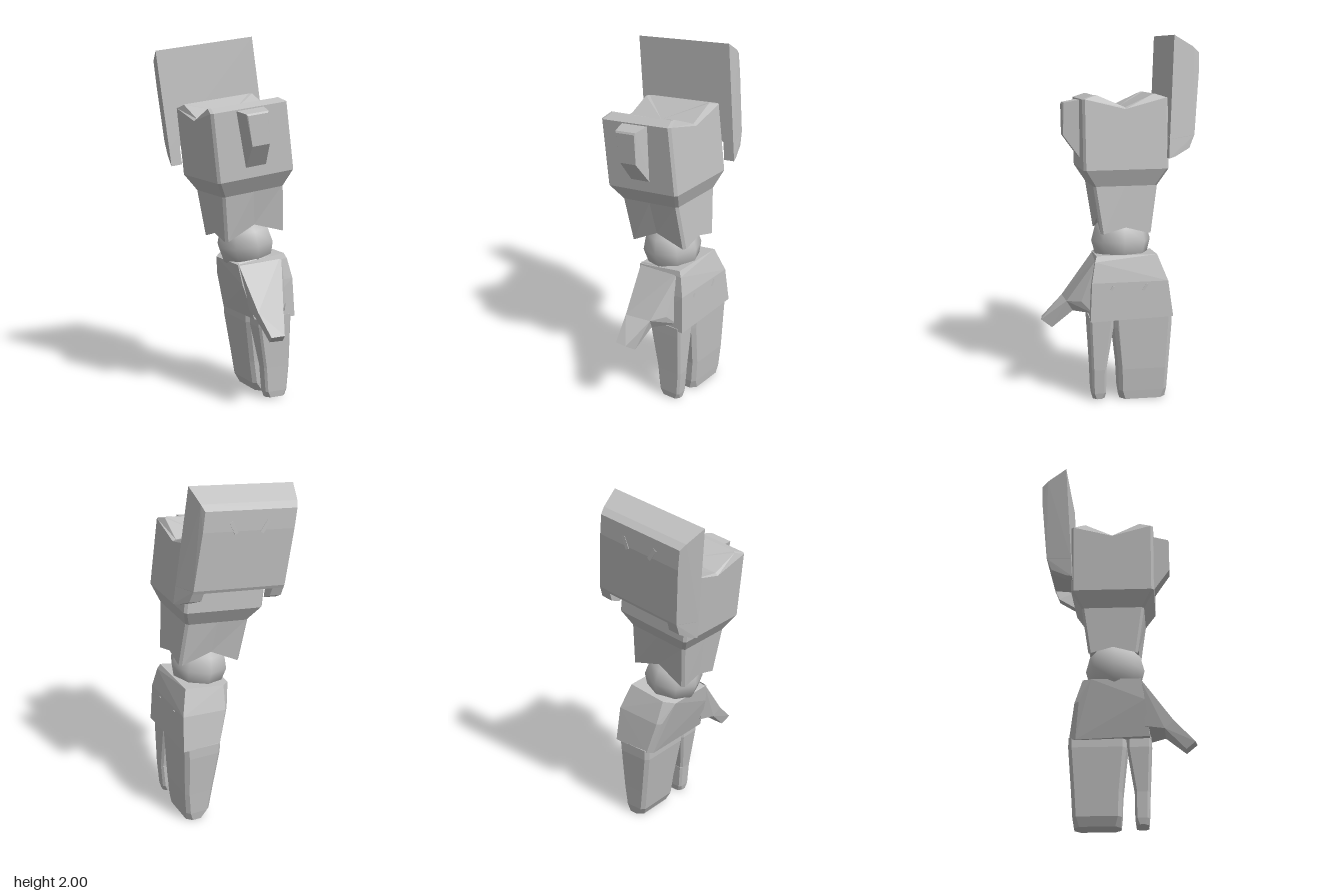
import * as THREE from 'three';
import { ConvexGeometry } from 'three/addons/geometries/ConvexGeometry.js';

const armorGrey = new THREE.MeshStandardMaterial({ color: 0xc0c0c0 });
armorGrey.name = 'armorGrey';

function add(parent, name, geometry) {
  const mesh = new THREE.Mesh(geometry, armorGrey);
  mesh.name = name;
  parent.add(mesh);
  return mesh;
}

// Faceted solid around a handful of corner points
function hull(points) {
  return new ConvexGeometry(points.map((p) => new THREE.Vector3(...p)));
}

// Solid through rectangular sections: [y, x0, x1, z0, z1, chamfer]
function block(sections) {
  const points = [];
  for (const [y, x0, x1, z0, z1, c = 0.012] of sections) {
    points.push([x0 + c, y, z0], [x0, y, z0 + c], [x1 - c, y, z0], [x1, y, z0 + c]);
    points.push([x0 + c, y, z1], [x0, y, z1 - c], [x1 - c, y, z1], [x1, y, z1 - c]);
  }
  return hull(points);
}

// Twelve-sided loop: chamfered corners plus a liftable middle on each side
function armRing({ y, w, d, front = 0, side = 0 }) {
  const c = 0.014;
  const z0 = -0.028;
  return [
    [0, front, d], [w - c, 0, d], [w, 0, d - c],
    [w, side, 0], [w, 0, -d + c], [w - c, 0, -d],
    [0, front, -d], [-w + c, 0, -d], [-w, 0, -d + c],
    [-w, side, 0], [-w, 0, d - c], [-w + c, 0, d],
  ].map(([x, dy, z]) => [x, y + dy, z + z0]);
}

function loft(rings, bottomCentre, topCentre) {
  const out = [];
  const n = rings[0].length;
  for (let j = 0; j < n; j++) {
    const k = (j + 1) % n;
    for (let i = 0; i < rings.length - 1; i++) {
      const a = rings[i], b = rings[i + 1];
      out.push(...a[j], ...a[k], ...b[k], ...a[j], ...b[k], ...b[j]);
    }
    const top = rings[rings.length - 1];
    out.push(...topCentre, ...top[j], ...top[k]);
    out.push(...bottomCentre, ...rings[0][k], ...rings[0][j]);
  }
  const geometry = new THREE.BufferGeometry();
  geometry.setAttribute('position', new THREE.Float32BufferAttribute(out, 3));
  geometry.computeVertexNormals();
  return geometry;
}

function buildForearm() {
  const arm = new THREE.Group();
  arm.name = 'forearm';
  arm.position.set(0.08, 0.97, 0);
  arm.rotation.z = 0.117;

  // Sleeve with notched cuff and a valley across the top
  const rings = [
    { y: -0.047, w: 0.182, d: 0.135, front: 0.067, side: 0.033 },
    { y: 0.21, w: 0.187, d: 0.172 },
    { y: 0.3, w: 0.232, d: 0.228 },
    { y: 0.675, w: 0.23, d: 0.228, side: -0.055 },
    { y: 0.696, w: 0.212, d: 0.165, side: -0.067 },
  ].map(armRing);
  add(arm, 'sleeve', loft(rings, [0, 0.06, -0.028], [0, 0.629, -0.028]));

  // Raised block on the front of the sleeve
  const boss = [];
  for (const s of [-1, 1]) {
    boss.push([s * 0.085, 0.67, 0.19], [s * 0.062, 0.345, 0.19]);
    boss.push([s * 0.08, 0.665, 0.21], [s * 0.066, 0.655, 0.28], [s * 0.06, 0.645, 0.286]);
    boss.push([s * 0.052, 0.48, 0.286]);
  }
  add(arm, 'frontBlock', hull(boss));

  // Back shield, narrower toward the rear
  const shield = [];
  for (const s of [-1, 1]) {
    shield.push([s * 0.3, 1.002, -0.28], [s * 0.3, 0.46, -0.25]);
    shield.push([s * 0.275, 0.94, -0.385], [s * 0.262, 0.911, -0.417]);
    shield.push([s * 0.262, 0.8, -0.415], [s * 0.265, 0.478, -0.388], [s * 0.265, 0.46, -0.38]);
  }
  add(arm, 'shield', hull(shield));

  for (const s of [-1, 1]) {
    // Lower shield corners wrapping past the sleeve
    const corner = [];
    for (const [inner, outer, y, z] of [
      [0.235, 0.3, 0.47, -0.25], [0.2, 0.265, 0.478, -0.387],
      [0.235, 0.3, 0.358, -0.245], [0.22, 0.29, 0.368, -0.28],
      [0.2, 0.268, 0.41, -0.36],
    ]) corner.push([s * inner, y, z], [s * outer, y, z]);
    add(arm, 'shieldCorner', hull(corner));

    // Slanted slots on the shield back
    const slot = add(arm, 'shieldSlot', new THREE.BoxGeometry(0.022, 0.075, 0.008));
    slot.position.set(s * 0.09, 0.82, -0.414);
    slot.rotation.z = -s * 0.5;
  }
  // Bracket joining shield and sleeve
  const bracket = add(arm, 'shieldBracket', new THREE.BoxGeometry(0.3, 0.18, 0.06));
  bracket.position.set(0, 0.56, -0.255);
  return arm;
}

function buildHand() {
  const hand = new THREE.Group();
  hand.name = 'hand';

  // Palm
  add(hand, 'palm', hull([
    [-0.03, 0.775, 0.12], [-0.03, 0.775, -0.15], [0.02, 0.79, -0.2],
    [0.25, 0.82, 0.13], [0.25, 0.82, -0.2], [0.265, 0.79, 0.14],
    [-0.01, 0.66, 0.14], [0.01, 0.66, -0.22], [0.03, 0.66, -0.245],
    [0.29, 0.68, 0.16], [0.29, 0.68, -0.255],
    [0.05, 0.47, 0.165], [0.06, 0.46, -0.24], [0.08, 0.47, -0.275],
    [0.3, 0.465, 0.17], [0.3, 0.48, -0.283],
  ]));

  // Thumb: root and tip share the middle section
  const middle = [[0.005, 0.54, 0.295], [0.165, 0.55, 0.285], [0.015, 0.5, 0.245], [0.15, 0.49, 0.25]];
  add(hand, 'thumbRoot', hull([
    [-0.025, 0.785, 0.11], [0.24, 0.815, 0.12],
    [0.03, 0.52, 0.14], [0.25, 0.5, 0.15], [0.22, 0.56, 0.21], ...middle,
  ]));
  add(hand, 'thumbTip', hull([
    ...middle, [0.025, 0.425, 0.41], [0.1, 0.43, 0.42], [0.04, 0.388, 0.36], [0.12, 0.388, 0.362],
  ]));

  // Fingers: one separate, the rest joined
  add(hand, 'indexFinger', block([
    [0.48, 0.08, 0.28, 0.04, 0.172], [0.42, 0.08, 0.276, 0.04, 0.17], [0.18, 0.12, 0.276, 0.08, 0.16],
  ]));
  add(hand, 'indexTip', block([
    [0.18, 0.12, 0.276, 0.078, 0.16], [0.04, 0.132, 0.265, 0.08, 0.156], [0.005, 0.14, 0.258, 0.085, 0.152, 0.02],
  ]));
  add(hand, 'joinedFingers', block([
    [0.48, 0.07, 0.288, -0.28, 0.036, 0.02], [0.42, 0.072, 0.284, -0.28, 0.036, 0.02],
    [0.18, 0.11, 0.28, -0.264, 0.012, 0.02],
  ]));
  add(hand, 'joinedTips', block([
    [0.18, 0.11, 0.28, -0.264, 0.012, 0.02], [0.05, 0.13, 0.27, -0.257, 0.008, 0.02],
    [0, 0.155, 0.265, -0.25, 0.003, 0.03],
  ]));

  // Small slots on the back of the hand
  for (const [z, length] of [[-0.13, 0.04], [0.05, 0.025]]) {
    const slot = add(hand, 'handSlot', new THREE.BoxGeometry(0.008, length, 0.012));
    slot.position.set(0.291, 0.65, z);
    slot.rotation.x = -0.6;
  }
  return hand;
}

export function createModel() {
  const model = new THREE.Group();
  model.name = 'mechanicalArm';
  model.add(buildForearm(), buildHand());

  // Wrist ball
  const ball = add(model, 'wristBall', new THREE.SphereGeometry(0.163, 8, 6));
  ball.position.set(0.088, 0.868, -0.025);
  ball.rotation.z = 0.117;
  return model;
}
